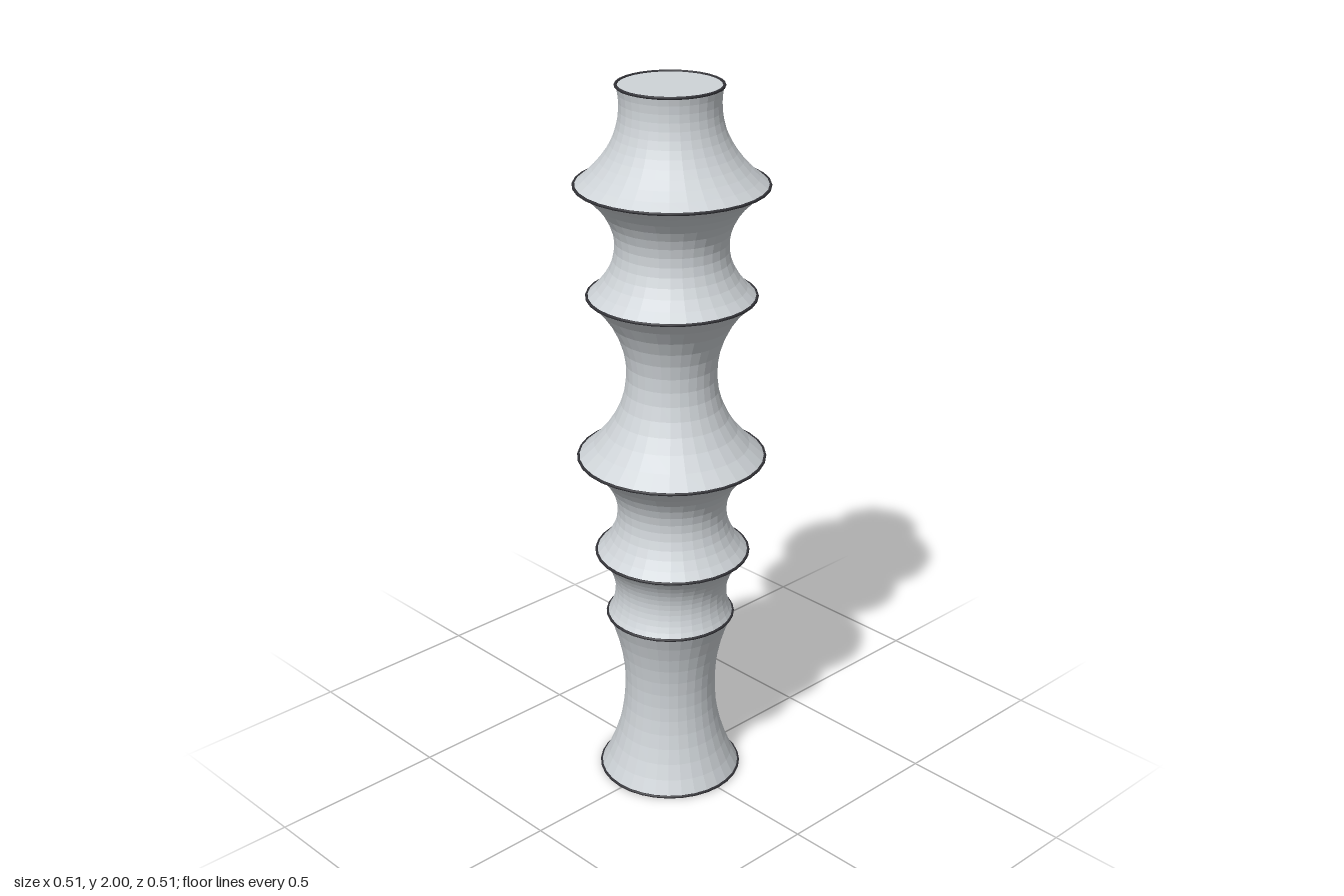
import * as THREE from 'three';

const SIDES = 32, ROWS = 12, WIRE = 0.004;

// Wire hoops from bottom to top: centre x, y, z and radius
const hoops = [
  { x: -0.008, y: 0.004, z: 0, r: 0.197 },
  { x: 0.006, y: 0.51, z: 0.012, r: 0.174 },
  { x: 0.002, y: 0.697, z: 0, r: 0.209 },
  { x: -0.001, y: 0.982, z: 0, r: 0.252 },
  { x: 0, y: 1.44, z: 0, r: 0.223 },
  { x: 0, y: 1.74, z: 0, r: 0.252 },
  { x: -0.007, y: 1.996, z: 0, r: 0.137 },
];
// Narrowest radius of the film between each pair of hoops
const waists = [0.127, 0.154, 0.149, 0.121, 0.149, 0.131];

// Film sagging inward between two hoops along a hyperbolic cosine
function filmGeometry(a, b, waist) {
  const ua = -Math.acosh(a.r / waist), ub = Math.acosh(b.r / waist);
  const h = b.y - a.y;
  const profile = [];
  for (let i = 0; i <= ROWS; i++) {
    const t = i / ROWS;
    profile.push(new THREE.Vector2(waist * Math.cosh(ua + (ub - ua) * t), a.y + h * t));
  }
  const geo = new THREE.LatheGeometry(profile, SIDES);
  // Lean the film so that it meets both hoop centres
  const p = geo.attributes.position;
  for (let i = 0; i < p.count; i++) {
    const t = (p.getY(i) - a.y) / h;
    p.setX(i, p.getX(i) + a.x + (b.x - a.x) * t);
    p.setZ(i, p.getZ(i) + a.z + (b.z - a.z) * t);
  }
  geo.computeVertexNormals();
  return geo;
}

export function createModel() {
  const film = new THREE.MeshStandardMaterial({ color: 0xcfd4d8, flatShading: true, side: THREE.DoubleSide });
  film.name = 'pale grey film';
  const wire = new THREE.MeshStandardMaterial({ color: 0x333338 });
  wire.name = 'dark wire';

  const model = new THREE.Group();
  model.name = 'filmColumn';
  const add = (name, geo, mat) => {
    const mesh = new THREE.Mesh(geo, mat);
    mesh.name = name;
    model.add(mesh);
    return mesh;
  };

  // Waisted film sections
  waists.forEach((w, i) => add(`filmSection${i + 1}`, filmGeometry(hoops[i], hoops[i + 1], w), film));

  // Wire hoops
  hoops.forEach((h, i) => {
    const geo = new THREE.TorusGeometry(h.r, WIRE, 8, SIDES).rotateX(Math.PI / 2);
    add(`hoop${i + 1}`, geo, wire).position.set(h.x, h.y, h.z);
  });

  // Flat end caps
  const cap = (name, h, turn) =>
    add(name, new THREE.CircleGeometry(h.r, SIDES).rotateX(turn), film).position.set(h.x, h.y, h.z);
  cap('bottomCap', hoops[0], Math.PI / 2);
  cap('topCap', hoops[hoops.length - 1], -Math.PI / 2);

  return model;
}
